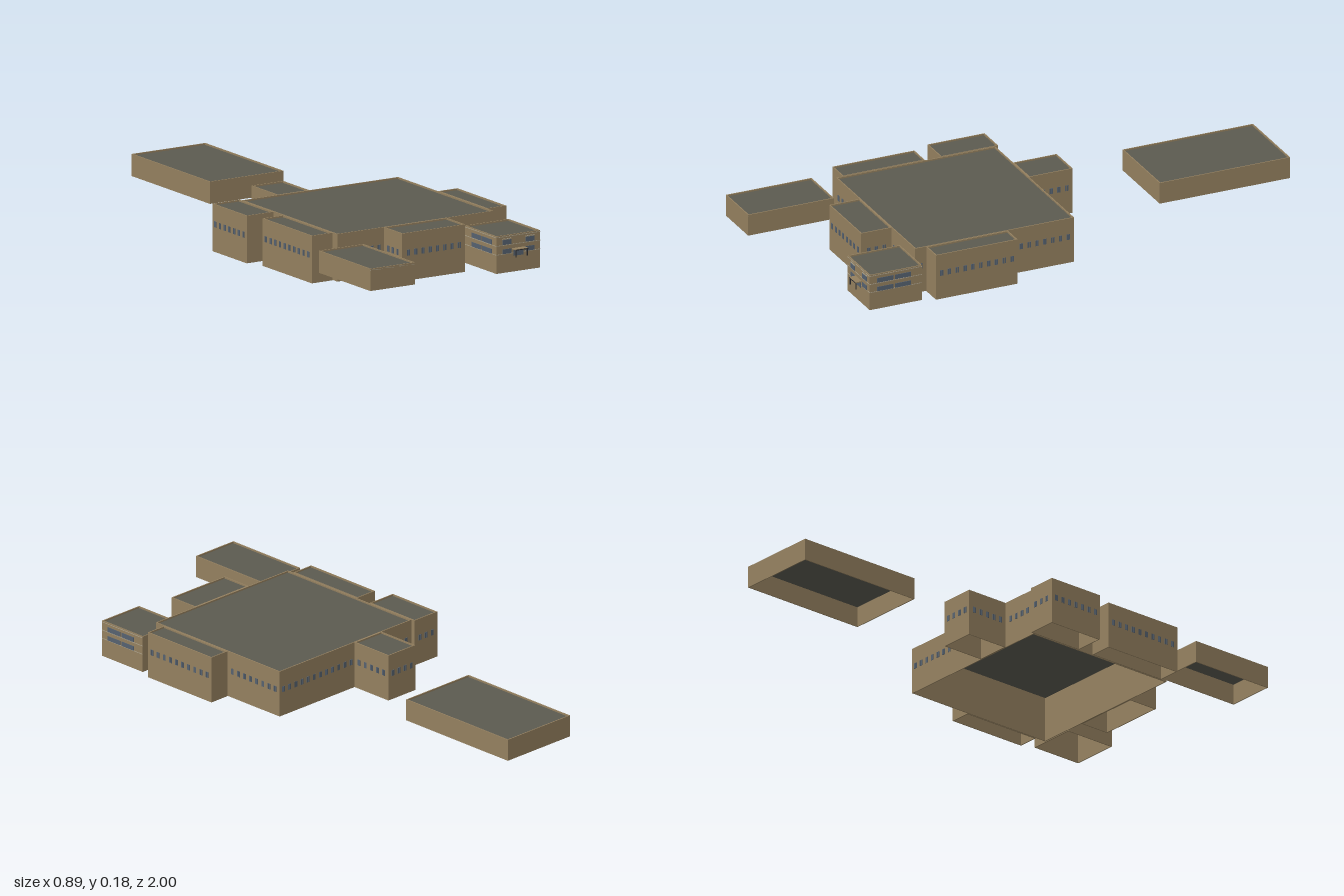
import * as THREE from 'three';
import { mergeGeometries } from 'three/addons/utils/BufferGeometryUtils.js';

const mat = (name, color) => {
  const m = new THREE.MeshStandardMaterial({ color });
  m.name = name;
  return m;
};

export function createModel() {
  const wallMat = mat('tan wall', 0x94805f);
  const roofMat = mat('grey roof', 0x5b5a50);
  const glassMat = mat('blue glass', 0x55616f);
  const trimMat = mat('pale trim', 0xaaa08a);
  const darkMat = mat('dark frame', 0x2c2d30);
  roofMat.side = THREE.DoubleSide;

  const model = new THREE.Group();
  model.name = 'buildingComplex';

  const boxGeo = (x0, x1, y0, y1, z0, z1) =>
    new THREE.BoxGeometry(x1 - x0, y1 - y0, z1 - z0)
      .translate((x0 + x1) / 2, (y0 + y1) / 2, (z0 + z1) / 2);
  const add = (parent, name, geo, material) => {
    const mesh = new THREE.Mesh(geo, material);
    mesh.name = name;
    parent.add(mesh);
    return mesh;
  };

  // Hollow block, open below: four walls and a roof sunk behind a low parapet
  const T = 0.004;
  function block(name, x0, x1, z0, z1, y0, y1) {
    const g = new THREE.Group();
    g.name = name;
    const walls = mergeGeometries([
      boxGeo(x0, x1, y0, y1, z0, z0 + T),
      boxGeo(x0, x1, y0, y1, z1 - T, z1),
      boxGeo(x0, x0 + T, y0, y1, z0 + T, z1 - T),
      boxGeo(x1 - T, x1, y0, y1, z0 + T, z1 - T),
    ]);
    add(g, 'walls', walls, wallMat);
    const roof = new THREE.PlaneGeometry(x1 - x0 - 2 * T, z1 - z0 - 2 * T)
      .rotateX(-Math.PI / 2)
      .translate((x0 + x1) / 2, y1 - 0.006, (z0 + z1) / 2);
    add(g, 'roof', roof, roofMat);
    model.add(g);
    return g;
  }

  // Thin plate on a wall; side is 'x' or 'z' (wall normal), dir is +1 or -1
  function plate(side, dir, at, a0, a1, y0, y1, depth = 0.002) {
    const n0 = Math.min(at, at + dir * depth);
    const n1 = Math.max(at, at + dir * depth);
    return side === 'z' ? boxGeo(a0, a1, y0, y1, n0, n1) : boxGeo(n0, n1, y0, y1, a0, a1);
  }

  // Evenly spaced row of two-pane windows between two ends of a wall
  function windowRow(parent, side, dir, at, a0, a1) {
    const step = 0.0315;
    const count = Math.floor((a1 - a0) / step);
    if (count < 1) return;
    const parts = [];
    for (let i = 0; i < count; i++) {
      const c = (a0 + a1) / 2 + (i - (count - 1) / 2) * step;
      parts.push(plate(side, dir, at, c - 0.0065, c - 0.0008, 0.093, 0.115));
      parts.push(plate(side, dir, at, c + 0.0008, c + 0.0065, 0.093, 0.115));
    }
    add(parent, 'windowRow', mergeGeometries(parts), glassMat);
  }

  // Main hall and its full-height wings
  const H = 0.178;
  const main = block('mainHall', -0.322, 0.355, -0.032, 0.607, 0, H);
  const back = block('backWing', -0.168, -0.03, -0.207, -0.032, 0, H);
  const rearSide = block('rearRightWing', -0.442, -0.325, -0.045, 0.185, 0, H);
  const rightSide = block('rightWing', -0.415, -0.325, 0.25, 0.58, 0, H);
  const leftSide = block('leftWing', 0.357, 0.44, 0.235, 0.563, 0, H);
  const front = block('frontWing', -0.12, 0.153, 0.607, 0.73, 0, H);

  [
    [main, 'z', 1, 0.607, -0.322, -0.12],
    [main, 'z', 1, 0.607, 0.153, 0.355],
    [main, 'z', -1, -0.032, -0.322, -0.168],
    [main, 'z', -1, -0.032, -0.03, 0.355],
    [main, 'x', 1, 0.355, -0.032, 0.235],
    [main, 'x', 1, 0.355, 0.563, 0.607],
    [main, 'x', -1, -0.322, 0.185, 0.25],
    [back, 'z', -1, -0.207, -0.168, -0.03],
    [back, 'x', 1, -0.03, -0.207, -0.032],
    [back, 'x', -1, -0.168, -0.207, -0.032],
    [rearSide, 'x', -1, -0.442, -0.045, 0.185],
    [rearSide, 'z', -1, -0.045, -0.442, -0.325],
    [rightSide, 'x', -1, -0.415, 0.25, 0.58],
    [leftSide, 'x', 1, 0.44, 0.235, 0.563],
    [front, 'z', 1, 0.73, -0.12, 0.153],
    [front, 'x', 1, 0.153, 0.607, 0.73],
    [front, 'x', -1, -0.12, 0.607, 0.73],
  ].forEach((row) => windowRow(...row));

  // Raised blocks standing apart
  block('rearAnnex', -0.175, 0.145, -1, -0.475, 0.057, 0.14);
  const annex = block('frontAnnex', -0.433, -0.24, 0.655, 1, 0.057, 0.14);
  add(annex, 'cornice', plate('z', 1, 0.998, -0.433, -0.24, 0.133, 0.136), trimMat);

  // Entrance house with two storeys of wide windows
  const house = block('entranceHouse', 0.23, 0.42, 0.61, 0.82, 0, 0.14);
  const glass = [];
  const trim = [];
  for (const [y0, y1] of [[0.071, 0.088], [0.105, 0.123]]) {
    for (const x of [0.257, 0.357]) glass.push(plate('z', 1, 0.82, x, x + 0.038, y0, y1));
    for (const z of [0.655, 0.726]) {
      glass.push(plate('x', 1, 0.42, z, z + 0.064, y0, y1));
      glass.push(plate('x', -1, 0.23, z, z + 0.064, y0, y1));
    }
  }
  for (const y of [0.069, 0.102, 0.134]) {
    trim.push(plate('z', 1, 0.82, 0.23, 0.42, y, y + 0.002, 0.001));
    trim.push(plate('x', 1, 0.42, 0.61, 0.82, y, y + 0.002, 0.001));
    trim.push(plate('x', -1, 0.23, 0.61, 0.82, y, y + 0.002, 0.001));
  }
  for (const x of [0.257, 0.357]) trim.push(plate('z', 1, 0.82, x, x + 0.038, 0.125, 0.128));
  add(house, 'wideWindows', mergeGeometries(glass), glassMat);
  add(house, 'trimBands', mergeGeometries(trim), trimMat);

  // Porch over the door
  const porch = new THREE.Group();
  porch.name = 'porch';
  house.add(porch);
  add(porch, 'door', plate('z', 1, 0.82, 0.304, 0.346, 0.059, 0.083), glassMat);
  add(porch, 'canopy', boxGeo(0.298, 0.352, 0.084, 0.088, 0.82, 0.845), wallMat);
  add(porch, 'canopyEdge', plate('z', 1, 0.843, 0.298, 0.352, 0.0835, 0.0865, 0.003), darkMat);
  for (const x of [0.299, 0.348]) {
    add(porch, 'post', boxGeo(x, x + 0.003, 0.058, 0.084, 0.841, 0.844), darkMat);
  }
  return model;
}
